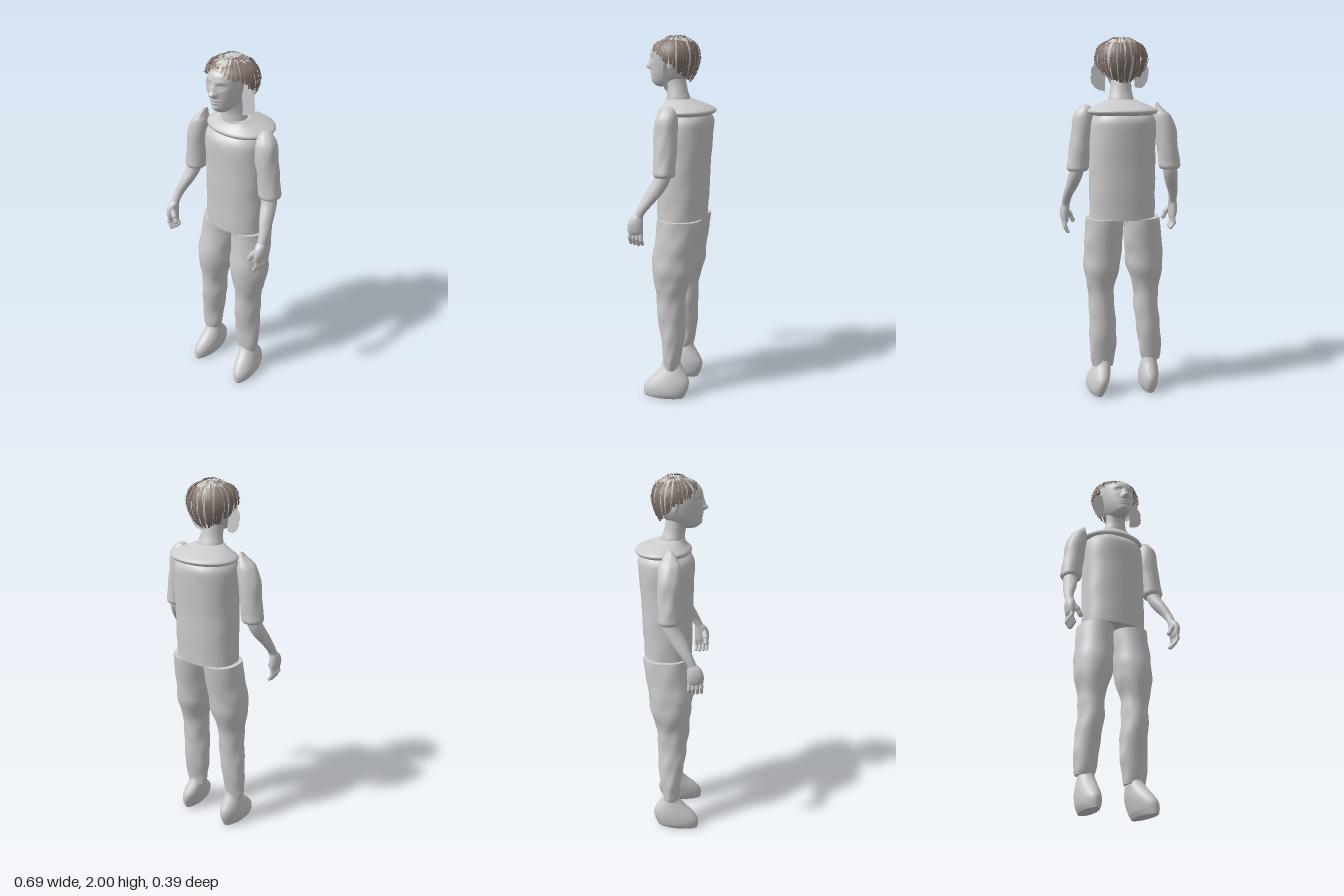
import * as THREE from 'three';

const body = new THREE.MeshStandardMaterial({ color: 0xcccccc });
body.name = 'paleGrey';
const card = new THREE.MeshStandardMaterial({ color: 0xcccccc, side: THREE.DoubleSide });
card.name = 'paleGreyCard';
const hairMat = new THREE.MeshStandardMaterial({ color: 0x82736a, side: THREE.DoubleSide });
hairMat.name = 'hairBrown';

let seed = 7;
const rand = () => (seed = (seed * 16807) % 2147483647) / 2147483647;
const gauss = (dx, dy, sx, sy) => Math.exp(-((dx / sx) ** 2) - (dy / sy) ** 2);

function add(parent, name, geometry, material = body) {
  const mesh = new THREE.Mesh(geometry, material);
  mesh.name = name;
  parent.add(mesh);
  return mesh;
}

// Smooth interpolation of rows of numbers
function sample(rows, t) {
  const n = rows.length - 1, i = Math.min(Math.floor(t * n), n - 1), f = t * n - i;
  const p = k => rows[Math.max(0, Math.min(n, k))];
  return rows[i].map((_, c) => {
    const a = p(i - 1)[c], b = p(i)[c], d = p(i + 1)[c], e = p(i + 2)[c];
    const m0 = (d - a) / 2, m1 = (e - b) / 2, f2 = f * f, f3 = f2 * f;
    return (2 * f3 - 3 * f2 + 1) * b + (f3 - 2 * f2 + f) * m0 + (3 * f2 - 2 * f3) * d + (f3 - f2) * m1;
  });
}

// Capped skin through rising cross-sections [y, centre x, centre z, half width, half depth]
function loft(rows, { seg = 32, sub = 4, power = 2, warp } = {}) {
  const pos = [], idx = [], n = (rows.length - 1) * sub;
  for (let j = 0; j <= n; j++) {
    const [y, cx, cz, rx, rz] = sample(rows, j / n);
    for (let i = 0; i < seg; i++) {
      const a = i / seg * Math.PI * 2, s = Math.sin(a), c = Math.cos(a);
      const k = (Math.abs(s) ** power + Math.abs(c) ** power) ** (-1 / power);
      const v = new THREE.Vector3(cx + s * k * rx, y, cz + c * k * rz);
      if (warp) warp(v, a);
      pos.push(v.x, v.y, v.z);
      if (j < n) {
        const p = j * seg + i, q = j * seg + (i + 1) % seg;
        idx.push(p, q, q + seg, p, q + seg, p + seg);
      }
    }
  }
  // Separate cap rings keep the rims crisp
  for (const [row, up] of [[0, false], [n, true]]) {
    const base = pos.length / 3;
    pos.push(...pos.slice(row * seg * 3, (row + 1) * seg * 3));
    for (let i = 1; i < seg - 1; i++)
      idx.push(base, base + (up ? i : i + 1), base + (up ? i + 1 : i));
  }
  return surface(pos, idx);
}

function surface(pos, idx) {
  const g = new THREE.BufferGeometry();
  g.setAttribute('position', new THREE.Float32BufferAttribute(pos, 3));
  g.setIndex(idx);
  g.computeVertexNormals();
  return g;
}

// Soft cloth folds
const folds = size => (v, a) => {
  const w = size * Math.sin(v.y * 38 + 2 * Math.sin(a * 2)) * Math.sin(a * 3 + v.y * 9);
  v.x += Math.sin(a) * w;
  v.z += Math.cos(a) * w;
};

function limb(parent, name, a, b, r) {
  const A = new THREE.Vector3(...a), B = new THREE.Vector3(...b), d = B.clone().sub(A);
  const mesh = add(parent, name, new THREE.CapsuleGeometry(r, d.length(), 4, 10));
  mesh.position.copy(A).add(B).multiplyScalar(0.5);
  mesh.quaternion.setFromUnitVectors(new THREE.Vector3(0, 1, 0), d.normalize());
}

// Hair shell: half width for a height, and the hairline height around the head
const shell = [[1.76, 0.085], [1.80, 0.115], [1.84, 0.132], [1.88, 0.143], [1.92, 0.137], [1.96, 0.115], [2.0, 0.04]];
function hairPoint(phi, y, lift) {
  const r = sample(shell, THREE.MathUtils.clamp((y - 1.76) / 0.24, 0, 1))[1] + lift;
  const c = Math.cos(phi);
  return [0.015 + Math.sin(phi) * r, y, 0.012 + c * r * (c > 0 ? 0.97 : 0.84)];
}
const hairline = phi => 1.945 - 0.09 * (1 - Math.cos(phi));

// Ribbons of hair running from low(phi) up to high(phi)
function ribbons(count, width, lift, lean, low, high) {
  const pos = [], idx = [], steps = 6;
  for (let k = 0; k < count; k++) {
    const phi = (k + rand() * 0.6) / count * Math.PI * 2;
    const y0 = low(phi) + (rand() - 0.6) * 0.02, y1 = high(phi) - rand() * 0.006;
    const slant = (rand() - 0.5) * lean, base = pos.length / 3;
    for (let s = 0; s <= steps; s++) {
      const y = y0 + (y1 - y0) * s / steps, m = phi + slant * s / steps;
      pos.push(...hairPoint(m - width, y, lift), ...hairPoint(m + width, y, lift));
      if (s < steps) {
        const p = base + s * 2;
        idx.push(p, p + 1, p + 3, p, p + 3, p + 2);
      }
    }
  }
  return surface(pos, idx);
}

// Ragged flat lock beside the face
function lock(points) {
  const shape = new THREE.Shape();
  points.forEach(([x, y], i) => {
    const [nx, ny] = points[(i + 1) % points.length];
    i ? shape.lineTo(x, y) : shape.moveTo(x, y);
    for (let k = 1; k < 5; k++)
      shape.lineTo(x + (nx - x) * k / 5 + (rand() - 0.5) * 0.009, y + (ny - y) * k / 5 + (rand() - 0.5) * 0.009);
  });
  return new THREE.ShapeGeometry(shape).translate(0, 0, 0.04);
}

export function createModel() {
  const model = new THREE.Group();
  model.name = 'standingFigure';

  // Shirt and wide collar
  add(model, 'shirt', loft([
    [1.03, 0.018, -0.02, 0.18, 0.13], [1.2, 0.018, -0.023, 0.181, 0.136], [1.38, 0.018, -0.026, 0.18, 0.142],
    [1.52, 0.015, -0.03, 0.178, 0.15], [1.57, 0.012, -0.032, 0.17, 0.145], [1.605, 0.015, -0.035, 0.15, 0.12],
  ], { seg: 48, power: 2.3, warp: folds(0.002) }));
  add(model, 'collar', loft([
    [1.585, 0.018, -0.04, 0.14, 0.11], [1.6, 0.02, -0.045, 0.182, 0.143], [1.618, 0.02, -0.045, 0.187, 0.149],
    [1.64, 0.02, -0.035, 0.15, 0.118], [1.66, 0.02, -0.015, 0.105, 0.085], [1.672, 0.02, 0, 0.08, 0.07],
  ], { seg: 48, power: 2.1 }));

  // Neck
  add(model, 'neck', loft([
    [1.63, 0.018, 0, 0.072, 0.068], [1.675, 0.018, 0.005, 0.069, 0.063], [1.71, 0.018, 0.012, 0.061, 0.057],
    [1.75, 0.015, 0.022, 0.056, 0.058], [1.79, 0.013, 0.03, 0.056, 0.06],
  ]));

  // Head with nose, eye sockets, lips and chin pressed into the front
  const face = (v, a) => {
    if (Math.cos(a) < 0) return;
    const x = v.x - 0.013, ax = Math.abs(x) - 0.036, nx = Math.max(0, Math.abs(x) - 0.008);
    v.z += 0.025 * gauss(nx, v.y - 1.837, 0.013, 0.014) + 0.012 * gauss(nx, v.y - 1.862, 0.009, 0.025)
      - 0.011 * gauss(ax, v.y - 1.88, 0.02, 0.013) + 0.006 * gauss(ax, v.y - 1.879, 0.012, 0.007)
      + 0.004 * gauss(ax, v.y - 1.903, 0.025, 0.009) + 0.007 * gauss(x, v.y - 1.806, 0.025, 0.007)
      + 0.006 * gauss(x, v.y - 1.792, 0.021, 0.007) - 0.004 * gauss(x, v.y - 1.799, 0.027, 0.003)
      + 0.006 * gauss(x, v.y - 1.765, 0.022, 0.012);
  };
  add(model, 'head', loft([
    [1.735, 0.013, 0.08, 0.03, 0.045], [1.755, 0.013, 0.07, 0.05, 0.078], [1.79, 0.013, 0.052, 0.07, 0.103],
    [1.83, 0.013, 0.04, 0.084, 0.117], [1.88, 0.014, 0.033, 0.094, 0.126], [1.93, 0.015, 0.03, 0.094, 0.122],
    [1.965, 0.015, 0.022, 0.082, 0.094], [1.985, 0.015, 0.018, 0.055, 0.062], [1.994, 0.015, 0.016, 0.024, 0.027], [1.996, 0.015, 0.016, 0.006, 0.006],
  ], { seg: 96, sub: 10, warp: face }));
  for (const s of [-1, 1]) {
    const ear = add(model, s < 0 ? 'rightEar' : 'leftEar', new THREE.SphereGeometry(1, 14, 10));
    ear.scale.set(0.01, 0.032, 0.019);
    ear.position.set(0.014 + s * 0.094, 1.85, 0.02);
    ear.rotation.y = s * 0.3;
  }

  // Hair: broad bands, finer crossing strands, and a ring round the bare crown
  add(model, 'hairBands', ribbons(40, 0.062, 0, 0.12, hairline, phi => 1.981 + 0.01 * Math.cos(phi)), hairMat);
  add(model, 'hairStrands', ribbons(60, 0.016, 0.004, 0.6, hairline, () => 2.0), hairMat);
  add(model, 'crownRing', ribbons(24, 0.1, 0.001, 0.2, () => 1.994, () => 2.0), hairMat);
  add(model, 'rightLock', lock([[-0.07, 1.89], [-0.065, 1.74], [-0.1, 1.73], [-0.133, 1.765], [-0.143, 1.83], [-0.125, 1.875]]), card);
  add(model, 'leftLock', lock([[0.09, 1.89], [0.15, 1.875], [0.174, 1.83], [0.176, 1.765], [0.15, 1.73], [0.1, 1.715]]), card);

  // Trouser legs
  const legs = {
    rightLeg: [[0.185, -0.157, 0.01, 0.05, 0.04], [0.22, -0.155, 0.01, 0.06, 0.047], [0.3, -0.15, 0.008, 0.066, 0.058],
      [0.4, -0.138, 0.008, 0.068, 0.072], [0.5, -0.128, 0.015, 0.069, 0.08], [0.6, -0.125, 0.013, 0.07, 0.083],
      [0.66, -0.123, 0.01, 0.081, 0.094], [0.74, -0.116, 0.006, 0.102, 0.113], [0.81, -0.11, 0.002, 0.105, 0.118],
      [0.9, -0.102, -0.012, 0.105, 0.117], [1.035, -0.09, -0.027, 0.1, 0.122]],
    leftLeg: [[0.165, 0.127, 0.01, 0.06, 0.04], [0.22, 0.126, 0.01, 0.069, 0.047], [0.3, 0.123, 0.008, 0.077, 0.058],
      [0.4, 0.125, 0.008, 0.075, 0.072], [0.5, 0.128, 0.015, 0.073, 0.08], [0.6, 0.133, 0.013, 0.072, 0.083],
      [0.66, 0.134, 0.01, 0.081, 0.094], [0.74, 0.129, 0.006, 0.1, 0.113], [0.81, 0.126, 0.002, 0.103, 0.118],
      [0.9, 0.122, -0.012, 0.105, 0.117], [1.035, 0.115, -0.027, 0.104, 0.122]],
  };
  for (const [name, rows] of Object.entries(legs)) add(model, name, loft(rows, { warp: folds(0.003) }));

  // Shoes, the left one turned a little outwards
  for (const [name, s, lean] of [['rightShoe', -1, 0], ['leftShoe', 1, 0.03]]) {
    const x = f => s * 0.148 + lean * f;
    add(model, name, loft([
      [0, x(0.4), 0.05, 0.04, 0.115], [0.025, x(0.35), 0.045, 0.052, 0.122], [0.06, x(0.2), 0.037, 0.057, 0.127],
      [0.1, x(-0.1), 0.022, 0.057, 0.112], [0.14, x(-0.4), 0.012, 0.052, 0.08], [0.18, x(-0.7), 0.008, 0.044, 0.05], [0.21, x(-0.8), 0.008, 0.038, 0.038],
    ], { warp: v => { v.x += s * 0.06 * (v.z - 0.03); } }));
  }

  // Arms: sleeve, forearm and hand
  for (const s of [-1, 1]) {
    const arm = new THREE.Group();
    arm.name = s < 0 ? 'rightArm' : 'leftArm';
    model.add(arm);
    const shoulder = s < 0
      ? [[1.58, -0.217, 0.008, 0.047, 0.055], [1.61, -0.203, 0.008, 0.03, 0.04], [1.635, -0.188, 0.008, 0.013, 0.025], [1.655, -0.181, 0.005, 0.004, 0.01]]
      : [[1.58, 0.225, 0.006, 0.055, 0.058], [1.615, 0.22, 0.002, 0.043, 0.045], [1.637, 0.215, 0, 0.026, 0.027], [1.647, 0.213, 0, 0.006, 0.007]];
    add(arm, 'sleeve', loft([
      [1.29, s * 0.258, 0.008, 0.048, 0.048], [1.305, s * 0.258, 0.008, 0.06, 0.058], [1.34, s * 0.254, 0.008, 0.06, 0.058],
      [1.42, s * 0.244, 0.008, 0.058, 0.06], [1.51, s * 0.232, 0.007, 0.059, 0.062], ...shoulder,
    ], { warp: folds(0.0025) }));
    add(arm, 'forearm', loft([
      [1.05, s * 0.314, 0.142, 0.024, 0.028], [1.09, s * 0.311, 0.13, 0.023, 0.025], [1.14, s * 0.304, 0.1, 0.026, 0.033],
      [1.21, s * 0.282, 0.055, 0.035, 0.047], [1.27, s * 0.267, 0.022, 0.039, 0.045], [1.33, s * 0.256, 0.008, 0.04, 0.04],
    ], { seg: 20 }));
    add(arm, 'palm', loft([
      [0.985, s * 0.312, 0.15, 0.014, 0.034], [1.0, s * 0.315, 0.15, 0.021, 0.042], [1.04, s * 0.317, 0.149, 0.026, 0.043],
      [1.075, s * 0.314, 0.142, 0.025, 0.034], [1.095, s * 0.31, 0.13, 0.02, 0.02],
    ], { seg: 20 }));
    for (let i = 0; i < 4; i++) {
      const z = 0.118 + i * 0.021, knuckle = [s * 0.318, 0.958 + 0.004 * i, z];
      limb(arm, 'fingerBase', [s * 0.315, 1.0, 0.121 + i * 0.019], knuckle, 0.0115);
      limb(arm, 'fingerTip', knuckle, [s * 0.302, 0.93 + 0.004 * Math.abs(i - 1), z], 0.01);
    }
    limb(arm, 'thumbBase', [s * 0.31, 1.055, 0.162], [s * 0.282, 1.02, 0.174], 0.016);
    limb(arm, 'thumbTip', [s * 0.282, 1.02, 0.174], [s * 0.267, 0.99, 0.176], 0.0135);
  }
  return model;
}
